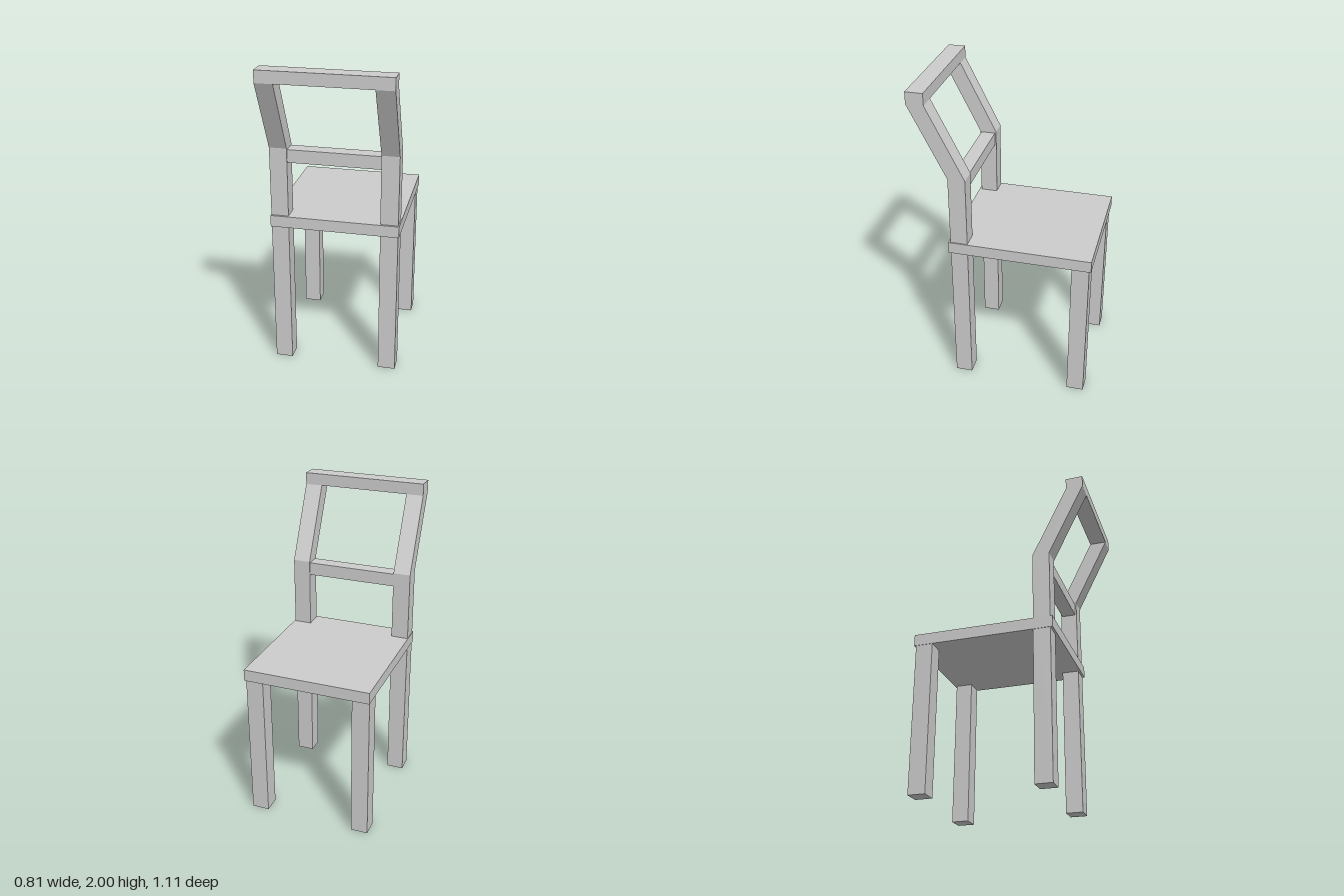
import * as THREE from 'three';

const material = new THREE.MeshStandardMaterial({ color: 0xcccccc, flatShading: true });

// Box given by its [min, max] range on each axis
function box(name, [x0, x1], [y0, y1], [z0, z1]) {
  const mesh = new THREE.Mesh(new THREE.BoxGeometry(x1 - x0, y1 - y0, z1 - z0), material);
  mesh.position.set((x0 + x1) / 2, (y0 + y1) / 2, (z0 + z1) / 2);
  mesh.name = name;
  return mesh;
}

// Rear leg and leaning back post in one piece: side outline (z, y) extruded across x
function rearPost(name, [x0, x1]) {
  const outline = [
    [0.219, 0], [0.327, 0], [0.327, 1.47], [0.556, 1.925], [0.447, 1.925], [0.219, 1.47],
  ].map(([z, y]) => new THREE.Vector2(z, y));
  const geometry = new THREE.ExtrudeGeometry(new THREE.Shape(outline), {
    depth: x1 - x0, bevelEnabled: false,
  });
  geometry.rotateY(-Math.PI / 2); // outline x becomes z, depth runs toward -x
  geometry.translate(x1, 0, 0);
  const mesh = new THREE.Mesh(geometry, material);
  mesh.name = name;
  return mesh;
}

export function createModel() {
  const chair = new THREE.Group();
  chair.name = 'chair';

  // Legs, with the pair under the backrest running up into the posts
  const sides = { right: [-0.402, -0.292], left: [0.287, 0.398] };
  for (const [side, xRange] of Object.entries(sides)) {
    chair.add(box(`${side}Leg`, xRange, [0, 0.953], [-0.544, -0.435]));
    chair.add(rearPost(`${side}BackPost`, xRange));
  }

  // Seat slab
  chair.add(box('seat', [-0.405, 0.405], [0.953, 1.027], [-0.556, 0.341]));

  // Backrest rails
  chair.add(box('middleRail', [-0.292, 0.287], [1.378, 1.461], [0.227, 0.318]));
  chair.add(box('topRail', [-0.402, 0.398], [1.925, 2], [0.447, 0.556]));

  return chair;
}
